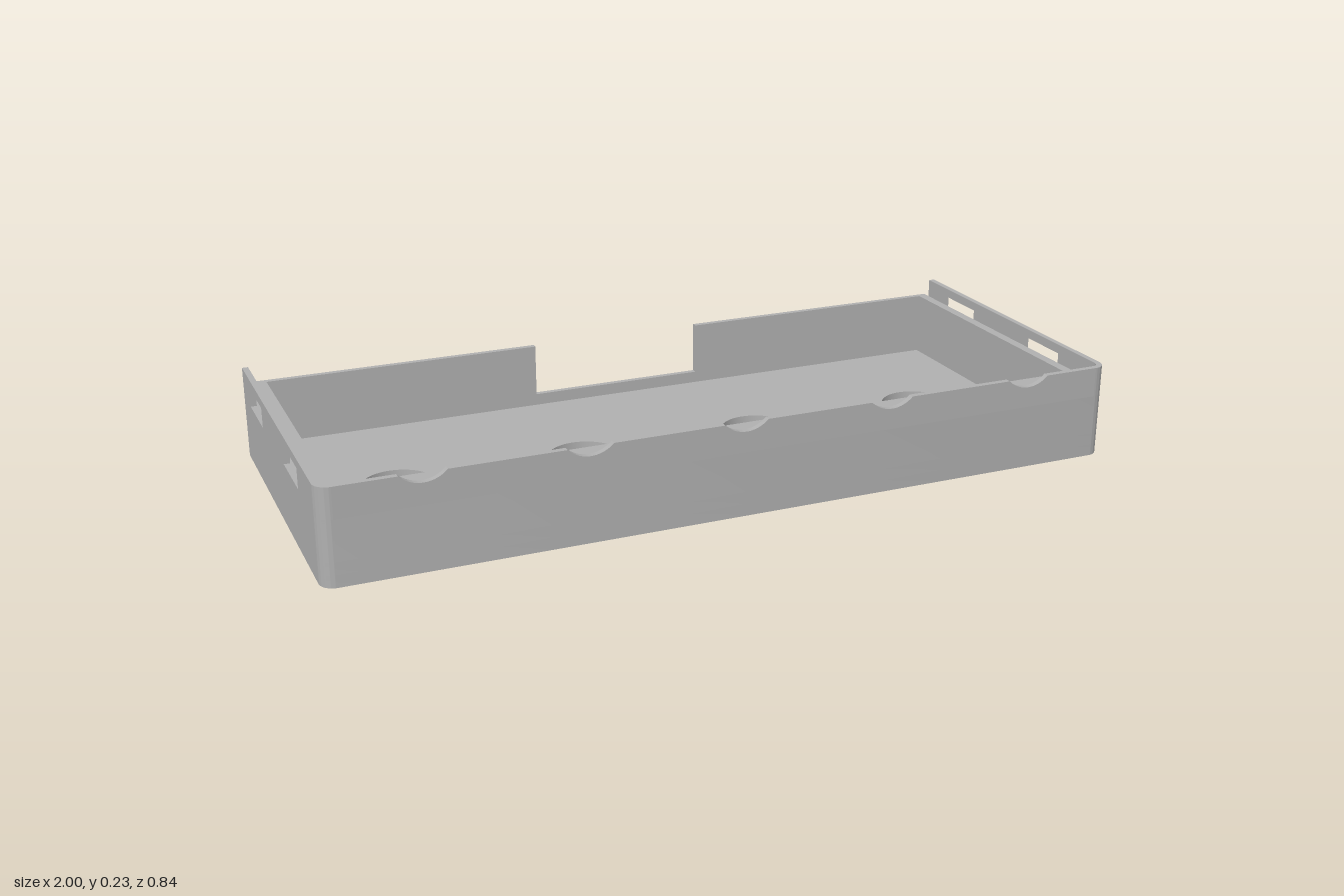
import * as THREE from 'three';
import { toCreasedNormals } from 'three/addons/utils/BufferGeometryUtils.js';

const BACK = -0.42, FRONT = 0.42, TOP = 0.235, RIM = 0.195, GROOVE = 0.16;
const WALL = 0.015, CORNER = 0.035;
const CAVITY = { x: 0.945, back: -0.405, front: 0.325 };
const GAP = 0.233; // half width of the opening in the back wall

const grey = new THREE.MeshStandardMaterial({ color: 0xb0b0b0 });
grey.name = 'grey plastic';

export function createModel() {
  const tray = new THREE.Group();
  tray.name = 'tray';

  function add(name, geometry) {
    const mesh = new THREE.Mesh(toCreasedNormals(geometry, 0.6), grey);
    mesh.name = name;
    tray.add(mesh);
  }

  // Extrude a plan shape (x, z) between two heights
  function layer(name, shape, bottom, top) {
    const g = new THREE.ExtrudeGeometry(shape, { depth: top - bottom, bevelEnabled: false, curveSegments: 24 });
    add(name, g.rotateX(Math.PI / 2).translate(0, top, 0));
  }

  // Outline with square back corners and rounded front corners
  function traceOutline(shape, hx, front, r) {
    shape.lineTo(-hx, BACK);
    shape.lineTo(-hx, front - r);
    shape.absarc(-hx + r, front - r, r, Math.PI, Math.PI / 2, true);
    shape.lineTo(hx - r, front);
    shape.absarc(hx - r, front - r, r, Math.PI / 2, 0, true);
    shape.lineTo(hx, BACK);
  }

  function plate() {
    const s = new THREE.Shape();
    s.moveTo(0, BACK);
    traceOutline(s, 1, FRONT, CORNER);
    s.closePath();
    return s;
  }

  // Wall ring that is interrupted by the opening at the back
  function openRing(hx, front, r) {
    const s = new THREE.Shape();
    s.moveTo(-GAP, BACK);
    traceOutline(s, hx, front, r);
    const { x, back, front: f } = CAVITY;
    for (const p of [[GAP, BACK], [GAP, back], [x, back], [x, f], [-x, f], [-x, back], [-GAP, back]]) s.lineTo(...p);
    s.closePath();
    return s;
  }

  function rectPath(x0, y0, x1, y1) {
    return new THREE.Path([[x0, y0], [x1, y0], [x1, y1], [x0, y1]].map(p => new THREE.Vector2(...p)));
  }

  // Floor with four round holes
  const floor = plate();
  for (let i = 0; i < 4; i++) {
    const hole = new THREE.Path();
    hole.absarc(-0.717 + i * 0.477, -0.015, 0.092, 0, Math.PI * 2);
    floor.holes.push(hole);
  }
  layer('floor', floor, 0, 0.03);

  // Thick lower walls: closed at the foot, open at the back above it
  const foot = plate();
  foot.holes.push(rectPath(-CAVITY.x, CAVITY.back, CAVITY.x, CAVITY.front));
  layer('wallFoot', foot, 0.03, 0.06);
  layer('lowerWall', openRing(1, FRONT, CORNER), 0.06, GROOVE);

  // Inner rim, separated from the outer lip by a narrow groove
  layer('innerRim', openRing(0.97, 0.388, 0.02), GROOVE, RIM);

  // Side lips with two clip slots each
  for (const side of [1, -1]) {
    const lip = new THREE.Shape(rectPath(BACK, GROOVE, FRONT - CORNER, TOP).getPoints());
    for (const [a, b] of [[0.073, 0.231], [-0.334, -0.176]]) lip.holes.push(rectPath(a, 0.161, b, 0.212));
    const g = new THREE.ExtrudeGeometry(lip, { depth: WALL, bevelEnabled: false });
    add(side > 0 ? 'leftLip' : 'rightLip',
      g.rotateY(-Math.PI / 2).translate(side > 0 ? 1 : -1 + WALL, 0, 0));

    // Rounded front corner of the lip
    const start = side > 0 ? 0 : Math.PI / 2, end = start + Math.PI / 2;
    const cx = side * (1 - CORNER), cz = FRONT - CORNER;
    const corner = new THREE.Shape();
    corner.absarc(cx, cz, CORNER, start, end, false);
    corner.absarc(cx, cz, CORNER - WALL, end, start, true);
    corner.closePath();
    layer(side > 0 ? 'leftCorner' : 'rightCorner', corner, GROOVE, TOP);
  }

  // Front lip with five shallow curved notches
  const hx = 1 - CORNER, r = 0.077, lift = 0.054, half = Math.acos(lift / r);
  const frontLip = new THREE.Shape();
  frontLip.moveTo(-hx, GROOVE);
  frontLip.lineTo(hx, GROOVE);
  frontLip.lineTo(hx, TOP);
  for (let i = 2; i >= -2; i--) {
    frontLip.absarc(i * 0.383, TOP + lift, r, -Math.PI / 2 + half, -Math.PI / 2 - half, true);
  }
  frontLip.lineTo(-hx, TOP);
  frontLip.closePath();
  add('frontLip', new THREE.ExtrudeGeometry(frontLip, { depth: WALL, bevelEnabled: false, curveSegments: 12 })
    .translate(0, 0, FRONT - WALL));

  return tray;
}
